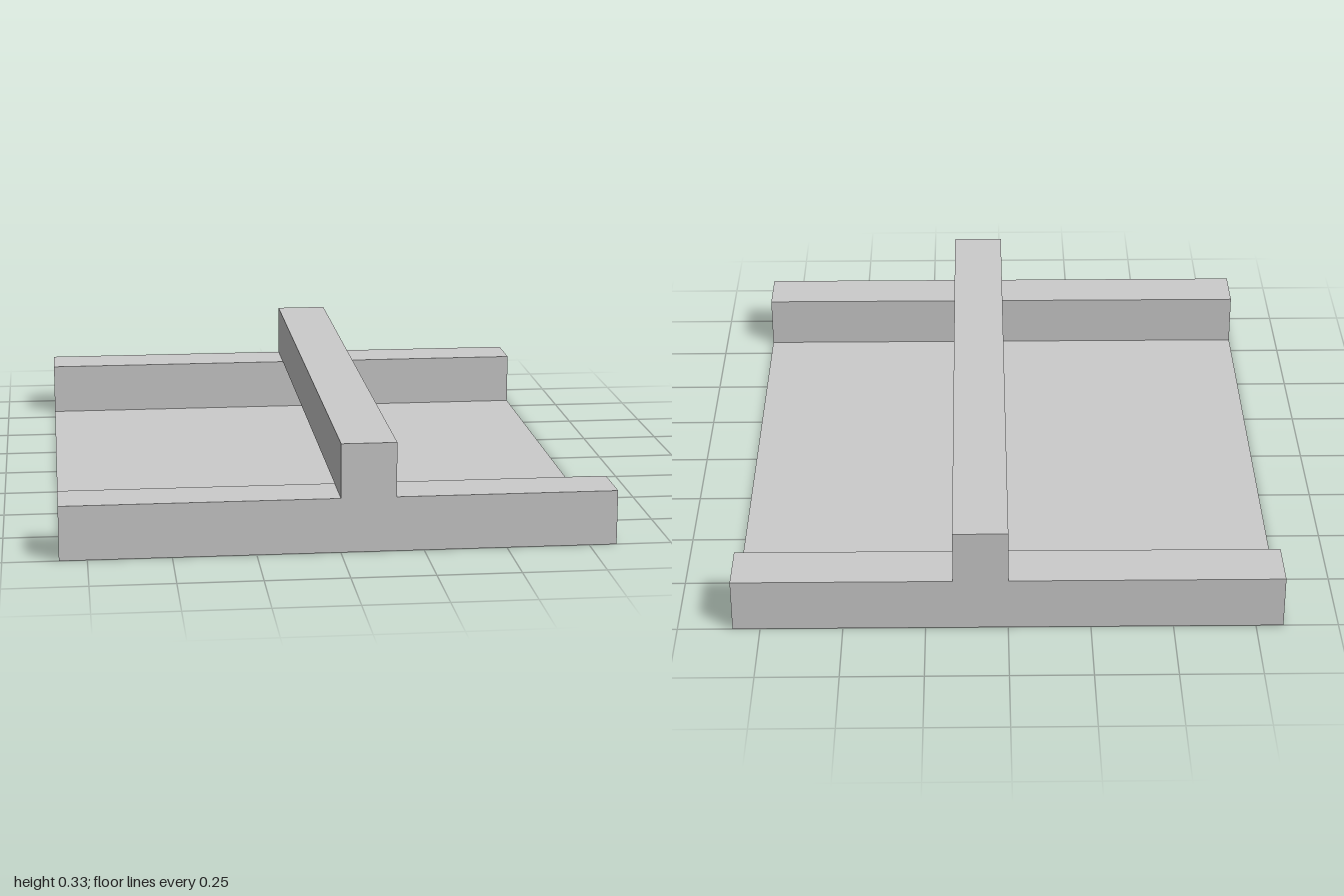
import * as THREE from 'three';

const U = 1 / 6;          // thickness of every bar
const W = 10 * U;         // width along x
const L = 12 * U;         // length along z

const material = new THREE.MeshStandardMaterial({
  color: 0xcccccc, flatShading: true, side: THREE.DoubleSide,
});

function addPart(group, name, geometry, x, y, z) {
  const mesh = new THREE.Mesh(geometry, material);
  mesh.name = name;
  mesh.position.set(x, y, z);
  group.add(mesh);
  return mesh;
}

// Box without its underside
function openBottomBox(w, h, d) {
  const geometry = new THREE.BoxGeometry(w, h, d);
  const index = Array.from(geometry.index.array);
  index.splice(18, 6);
  geometry.setIndex(index);
  geometry.clearGroups();
  return geometry;
}

export function createModel() {
  const group = new THREE.Group();
  group.name = 'barFrame';

  // Thin floor between the two cross bars
  const floor = new THREE.PlaneGeometry(W, L - 2 * U).rotateX(-Math.PI / 2);
  addPart(group, 'floor', floor, 0, 0, 0);

  // Hollow cross bars along the front and back edges
  for (const [name, side] of [['frontBar', 1], ['backBar', -1]]) {
    addPart(group, name, openBottomBox(W, U, U), 0, U / 2, side * (L - U) / 2);
  }

  // Off-centre beam resting on both bars
  addPart(group, 'topBeam', new THREE.BoxGeometry(U, U, L), U / 2, U * 1.5, 0);

  return group;
}
